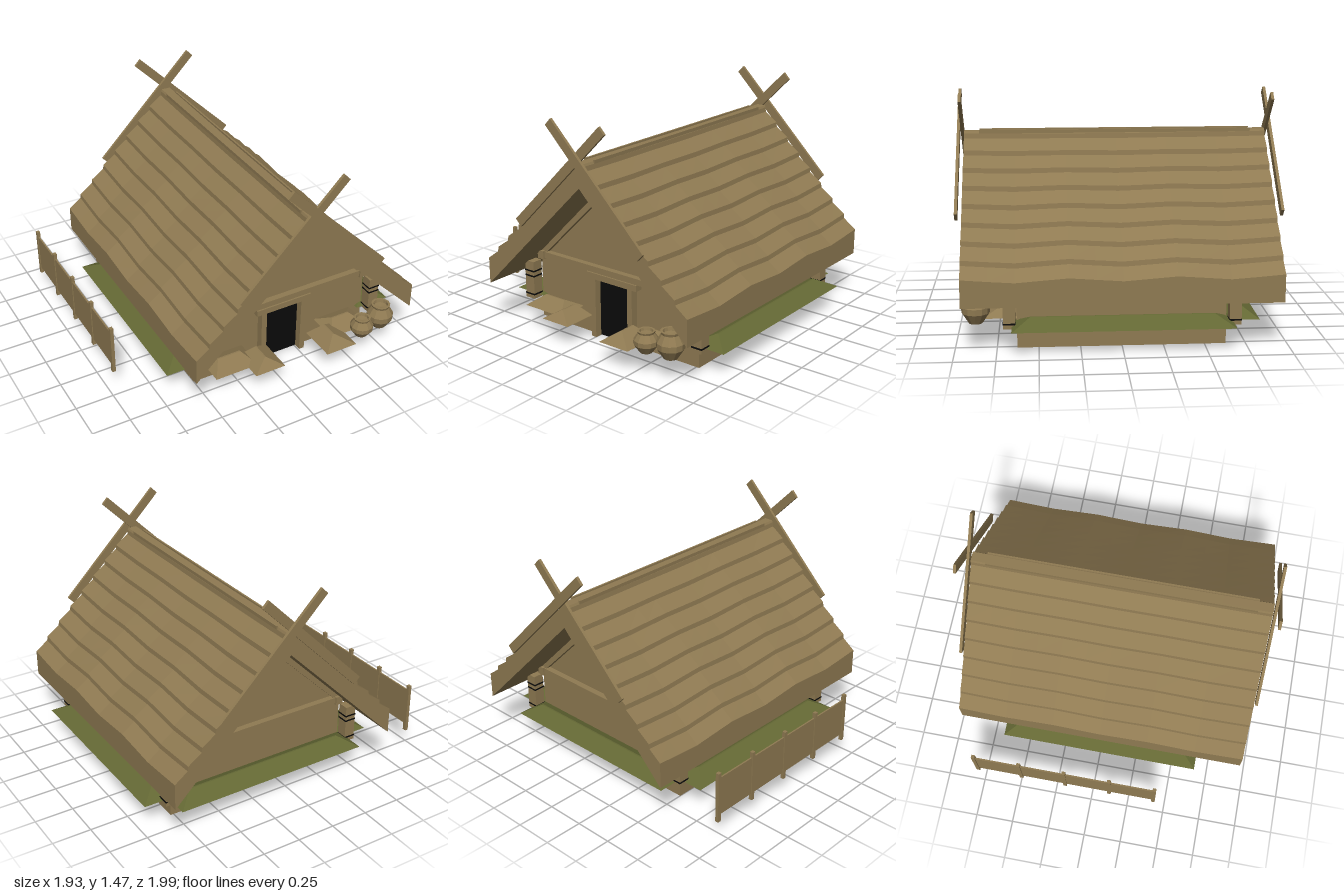
import * as THREE from 'three';

const CX = 0.135;   // centre line of the house
const HALF_W = 0.635, HALF_D = 0.63, GROUND = 0.155;

export function createModel() {
  const root = new THREE.Group();
  const mat = (name, color) => {
    const m = new THREE.MeshStandardMaterial({ color, side: THREE.DoubleSide });
    m.name = name;
    return m;
  };
  const straw = mat('straw and timber', 0x8f7a52);
  const grass = mat('grass', 0x646834);
  const dark = mat('dark opening', 0x0a0a0a);

  const add = (name, geo, material = straw) => {
    const m = new THREE.Mesh(geo, material);
    m.name = name;
    root.add(m);
    return m;
  };
  // box from its limits
  const box = (name, x0, x1, y0, y1, z0, z1, material) => {
    const g = new THREE.BoxGeometry(x1 - x0, y1 - y0, z1 - z0);
    g.translate((x0 + x1) / 2, (y0 + y1) / 2, (z0 + z1) / 2);
    return add(name, g, material);
  };
  // outline extruded between two z values
  const slab = (name, pts, z0, z1, material, steps = 1) => {
    const shape = new THREE.Shape(pts.map(p => new THREE.Vector2(p[0], p[1])));
    const g = new THREE.ExtrudeGeometry(shape, { depth: z1 - z0, steps, bevelEnabled: false });
    g.translate(0, 0, z0);
    return add(name, g, material);
  };
  const mirror = pts => pts.map(([x, y]) => [2 * CX - x, y]).reverse();

  // height of the roof underside
  const under = x => 1.075 - Math.abs(x - CX) * 0.988;

  // thatched roof: stepped courses, gently wavy along its length
  const left = [[-0.65, 0.295], [-0.65, 0.455]];
  for (let i = 0; i < 8; i++) {
    const x = -0.65 + i * 0.094, y = 0.455 + i * 0.0945;
    left.push([x + 0.086, y + 0.064], [x + 0.09, y + 0.0945]);
  }
  left.push([0.105, 1.225]);
  const roof = slab('thatchRoof', [...left, ...mirror(left), [CX, 1.075]], -0.955, 0.955, straw, 12);
  const p = roof.geometry.attributes.position;
  for (let i = 0; i < p.count; i++) {
    const x = p.getX(i), y = p.getY(i), z = p.getZ(i);
    if (y < 0.45 || y - under(x) < 0.08) continue;
    const fade = Math.max(0, (1.23 - y) / 0.78);
    p.setY(i, y - 0.012 * fade * Math.cos(z * 9.8) - 0.006 * (1 - fade) * Math.cos(z * 1.6));
  }
  roof.geometry.computeVertexNormals();

  // ridge poles
  for (const s of [-1, 1]) box('ridgePole', CX + s * 0.035 - 0.006, CX + s * 0.035 + 0.006, 1.21, 1.232, -0.86, 0.86);

  // side walls and wall plates
  for (const s of [-1, 1]) {
    const a = CX + s * HALF_W, b = CX + s * (HALF_W - 0.06);
    box('sideWall', Math.min(a, b), Math.max(a, b), 0, 0.44, -HALF_D, HALF_D);
    const c = CX + s * 0.6;
    box('wallPlate', c - 0.025, c + 0.025, 0.42, 0.475, -0.68, 0.68);
  }

  // gable walls, the front one notched for the door
  const xl = CX - HALF_W, xr = CX + HALF_W;
  const gableTop = [[xr, under(xr)], [CX, 1.075], [xl, under(xl)]];
  slab('frontWall', [[xl, 0], [0, 0], [0, 0.39], [0.26, 0.39], [0.26, 0], [xr, 0], ...gableTop], HALF_D - 0.06, HALF_D);
  slab('backWall', [[xl, 0], [xr, 0], ...gableTop], -HALF_D, -HALF_D + 0.06);

  // door and its frame
  box('door', 0, 0.26, 0.002, 0.39, 0.565, 0.632, dark);
  box('doorJamb', -0.035, 0.002, 0, 0.4, HALF_D, 0.68);
  box('doorJamb', 0.258, 0.295, 0, 0.4, HALF_D, 0.68);
  box('doorLintel', -0.07, 0.33, 0.39, 0.43, HALF_D, 0.68);

  for (const s of [-1, 1]) {
    const span = (z, t) => s > 0 ? [z, z + t] : [-z - t, -z];
    // tie beam and rafters on the gable
    box('tieBeam', xl + 0.05, xr - 0.05, 0.43, 0.47, ...span(HALF_D, 0.04));
    const rafter = [[-0.5, under(-0.5)], [-0.45, under(-0.5)], [CX, 1.02], [CX, 1.075]];
    slab('rafter', rafter, ...span(HALF_D, 0.03));
    slab('rafter', mirror(rafter), ...span(HALF_D, 0.03));
    // smoke vent
    slab('smokeVent', [[0.03, 0.945], [0.24, 0.945], [CX, 1.05]], ...span(HALF_D + 0.031, 0.006), dark);
    slab('smokeVentTip', [[CX, 1.04], [CX + 0.018, 1.062], [CX, 1.08], [CX - 0.018, 1.062]],
      ...span(HALF_D + 0.031, 0.006), dark);
    // crossed gable boards
    const board = [[-0.08, 1.43], [-0.04, 1.472], [0.64, 0.793], [0.6, 0.75]];
    slab('crossedBoard', board, ...span(0.978, 0.018));
    slab('crossedBoard', mirror(board), ...span(0.958, 0.018));
    // corner posts with dark bindings
    for (const t of [-1, 1]) {
      const x = CX + t * 0.673, z = s * 0.675;
      box('cornerPost', x - 0.037, x + 0.037, 0.14, 0.395, z - 0.036, z + 0.036);
      for (const y of [0.165, 0.29, 0.325])
        box('postBinding', x - 0.039, x + 0.039, y, y + 0.01, z - 0.038, z + 0.038, dark);
    }
  }

  // low earth mound: rectangular foot, smaller crest
  const mound = (name, [x0, x1, z0, z1], [a0, a1, c0, c1], top, material) => {
    const v = [[x0, z0], [x1, z0], [x1, z1], [x0, z1]].map(q => [q[0], GROUND, q[1]]);
    const w = [[a0, c0], [a1, c0], [a1, c1], [a0, c1]].map(q => [q[0], top, q[1]]);
    const tri = [];
    const quad = (a, b, c, d) => tri.push(...a, ...b, ...c, ...a, ...c, ...d);
    for (let i = 0; i < 4; i++) quad(v[(i + 1) % 4], v[i], w[i], w[(i + 1) % 4]);
    quad(w[3], w[2], w[1], w[0]);
    quad(v[0], v[1], v[2], v[3]);
    const g = new THREE.BufferGeometry();
    g.setAttribute('position', new THREE.Float32BufferAttribute(tri, 3));
    g.computeVertexNormals();
    add(name, g, material);
  };
  mound('leftBank', [0.72, 0.965, -0.665, 0.66], [0.84, 0.85, -0.55, 0.55], 0.215, grass);
  mound('rightBank', [-0.7, -0.45, -0.665, 0.66], [-0.59, -0.58, -0.55, 0.55], 0.215, grass);
  mound('backBank', [-0.53, 0.8, -0.83, -0.6], [-0.42, 0.69, -0.725, -0.715], 0.22, grass);
  mound('frontMound', [-0.45, -0.15, 0.62, 0.84], [-0.38, -0.22, 0.72, 0.73], 0.21, straw);
  mound('frontMound', [-0.22, -0.01, 0.7, 0.93], [-0.12, -0.11, 0.74, 0.86], 0.215, straw);
  mound('frontMound', [0.28, 0.5, 0.72, 0.97], [0.375, 0.385, 0.77, 0.88], 0.22, straw);
  mound('frontMound', [0.4, 0.68, 0.62, 0.84], [0.47, 0.6, 0.72, 0.73], 0.21, straw);

  // clay pots
  const pot = (x, z, r, h) => {
    const prof = [[0, 0], [0.5, 0], [0.98, 0.38], [1, 0.6], [0.66, 0.9], [0.72, 1], [0.55, 1], [0.5, 0.88], [0, 0.85]];
    const g = new THREE.LatheGeometry(prof.map(q => new THREE.Vector2(q[0] * r, q[1] * h)), 12).toNonIndexed();
    g.computeVertexNormals();
    add('clayPot', g).position.set(x, GROUND, z);
  };
  pot(0.585, 0.9, 0.076, 0.135);
  pot(0.745, 0.875, 0.086, 0.17);

  // fence
  box('fencePanel', -0.96, -0.95, 0.17, 0.425, -0.79, 0.42);
  for (let i = 0; i < 5; i++) {
    const z = -0.79 + i * 0.303;
    box('fencePost', -0.966, -0.944, 0.125, 0.462, z - 0.012, z + 0.012);
  }
  return root;
}
